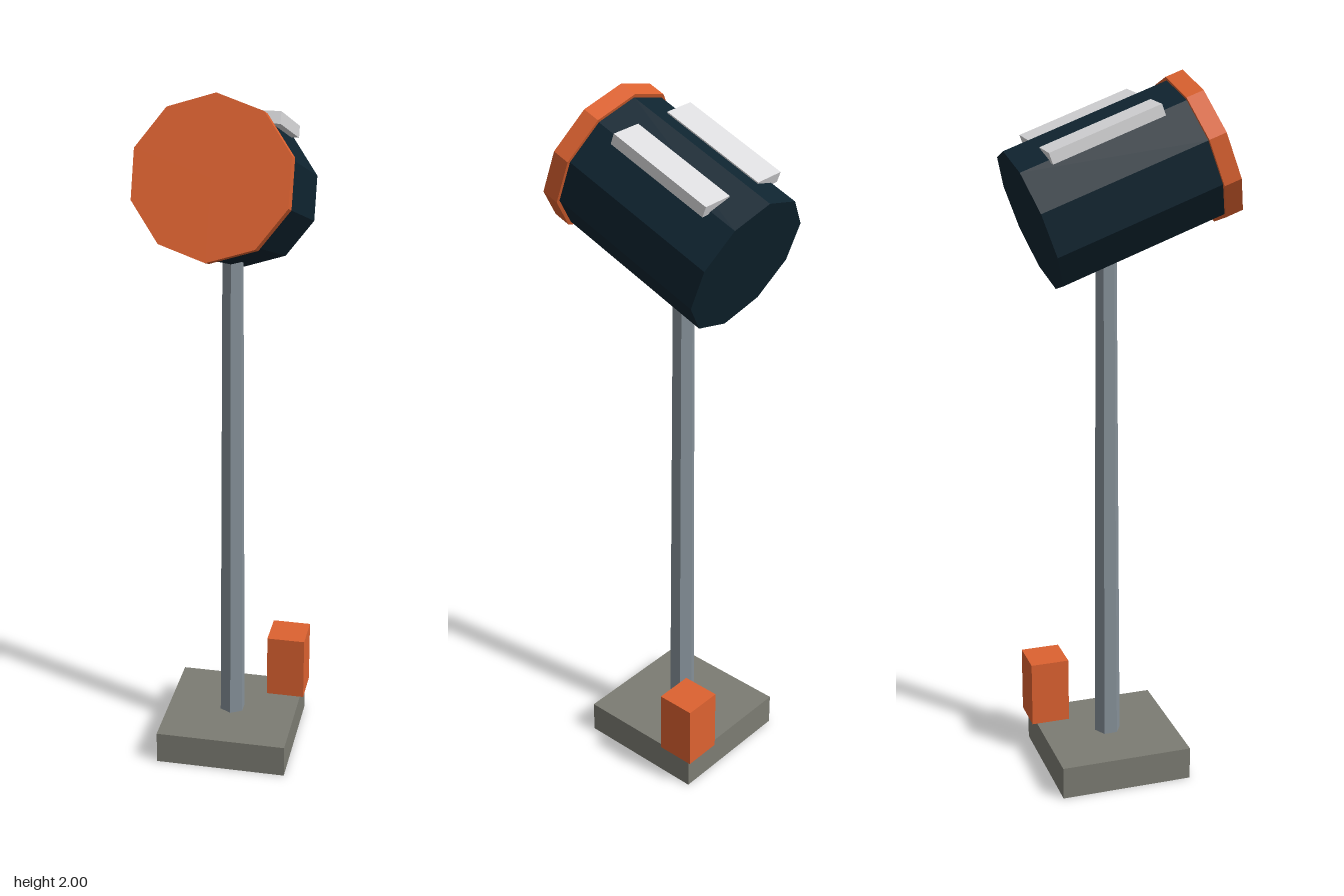
import * as THREE from 'three';

const material = (name, color) => {
  const m = new THREE.MeshStandardMaterial({ color, flatShading: true });
  m.name = name;
  return m;
};

export function createModel() {
  const navy = material('dark navy', 0x0f2430);
  const orange = material('orange', 0xdd6230);
  const steel = material('steel grey', 0x87929a);
  const stone = material('base grey', 0x7c7c73);
  const white = material('pale grey', 0xdcdcde);

  const model = new THREE.Group();
  model.name = 'postMountedDrum';

  const add = (parent, name, geometry, mat, x, y, z) => {
    const mesh = new THREE.Mesh(geometry, mat);
    mesh.name = name;
    mesh.position.set(x, y, z);
    parent.add(mesh);
    return mesh;
  };

  // Square foot, side box and tapered hexagonal pole
  add(model, 'base', new THREE.BoxGeometry(0.38, 0.095, 0.38), stone, 0, 0.0475, -0.04);
  add(model, 'controlBox', new THREE.BoxGeometry(0.112, 0.192, 0.112), orange, 0.144, 0.191, -0.188);
  add(model, 'pole', new THREE.CylinderGeometry(0.03, 0.038, 1.43, 6), steel, 0, 0.805, -0.04);

  // Ten-sided drum, tilted so its front looks up
  const head = new THREE.Group();
  head.name = 'head';
  head.position.set(0, 1.715, -0.003);
  head.rotation.x = -Math.PI / 9;
  model.add(head);

  const drum = (radius, length) =>
    new THREE.CylinderGeometry(radius, radius, length, 10).rotateX(Math.PI / 2);
  add(head, 'drumBody', drum(0.2, 0.475), navy, 0, 0, -0.025);
  add(head, 'frontCap', drum(0.21, 0.05), orange, 0, 0, 0.2375);

  // Pair of flat strips along the top
  for (const side of [-1, 1]) {
    add(head, side > 0 ? 'leftStrip' : 'rightStrip',
      new THREE.BoxGeometry(0.09, 0.032, 0.32), white, side * 0.1, 0.17, -0.02);
  }

  return model;
}
